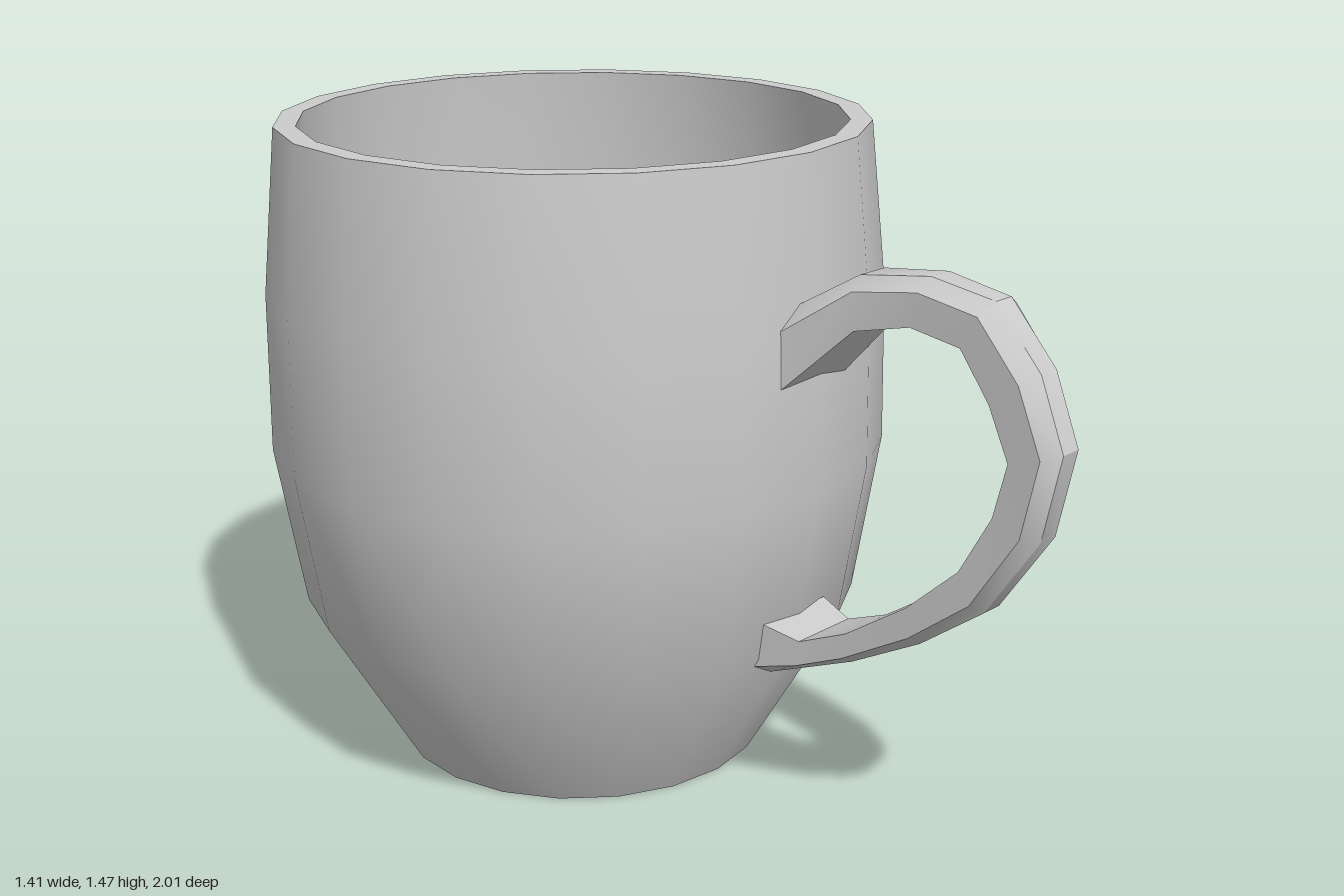
import * as THREE from 'three';
import { toCreasedNormals } from 'three/addons/utils/BufferGeometryUtils.js';

const material = new THREE.MeshStandardMaterial({ color: 0xcccccc });

// Hollow body: outside wall, flat rim, inside wall and floor in one profile
function createBody() {
  const profile = [
    [0, 0], [0.428, 0], [0.643, 0.37], [0.703, 0.74], [0.698, 1.1], [0.661, 1.47],
    [0.612, 1.47], [0.645, 1.1], [0.65, 0.74], [0.595, 0.4], [0.455, 0.12], [0, 0.12],
  ].map(([r, y]) => new THREE.Vector2(r, y));
  const geometry = new THREE.LatheGeometry(profile, 20, 0.035);
  const body = new THREE.Mesh(toCreasedNormals(geometry, 0.7), material);
  body.name = 'body';
  body.position.z = -0.305;
  return body;
}

// Handle: six-sided sections lofted from the upper joint round to the lower one
function createHandle() {
  // outer z, outer y, inner z, inner y, centre x, half width, half width of outer face
  const stations = [
    [0.375, 1.165, 0.375, 0.99, 0.02, 0.11, 0.05],
    [0.52, 1.25, 0.53, 1.14, 0.025, 0.07, 0.04],
    [0.68, 1.27, 0.66, 1.17, 0.035, 0.068, 0.03],
    [0.83, 1.245, 0.78, 1.15, 0.038, 0.068, 0.026],
    [0.94, 1.12, 0.85, 1.05, 0.04, 0.066, 0.026],
    [1.0, 0.97, 0.9, 0.94, 0.04, 0.065, 0.026],
    [0.96, 0.78, 0.87, 0.82, 0.04, 0.065, 0.026],
    [0.84, 0.6, 0.8, 0.69, 0.035, 0.066, 0.026],
    [0.69, 0.49, 0.68, 0.58, 0.03, 0.068, 0.028],
    [0.52, 0.4, 0.53, 0.48, 0.025, 0.072, 0.03],
    [0.41, 0.355, 0.42, 0.435, 0.022, 0.085, 0.03],
    [0.3, 0.31, 0.335, 0.458, 0.02, 0.105, 0.03],
  ];
  const positions = [], indices = [], sides = 6;
  for (const [oz, oy, iz, iy, cx, w, n] of stations) {
    const sz = THREE.MathUtils.lerp(oz, iz, 0.27), sy = THREE.MathUtils.lerp(oy, iy, 0.27);
    positions.push(
      cx - w, iy, iz, cx + w, iy, iz, cx + w, sy, sz,
      cx + n, oy, oz, cx - n, oy, oz, cx - w, sy, sz,
    );
  }
  const last = (stations.length - 1) * sides;
  for (let i = 0; i < last; i += sides) {
    for (let j = 0; j < sides; j++) {
      const a = i + j, b = i + (j + 1) % sides;
      indices.push(a, b, a + sides, b, b + sides, a + sides);
    }
  }
  // End caps tucked into the wall
  for (let k = 1; k < sides - 1; k++) {
    indices.push(0, k + 1, k, last, last + k, last + k + 1);
  }
  const geometry = new THREE.BufferGeometry();
  geometry.setAttribute('position', new THREE.Float32BufferAttribute(positions, 3));
  geometry.setIndex(indices);
  const handle = new THREE.Mesh(toCreasedNormals(geometry, 0.5), material);
  handle.name = 'handle';
  return handle;
}

export function createModel() {
  const mug = new THREE.Group();
  mug.name = 'mug';
  mug.add(createBody(), createHandle());
  return mug;
}
